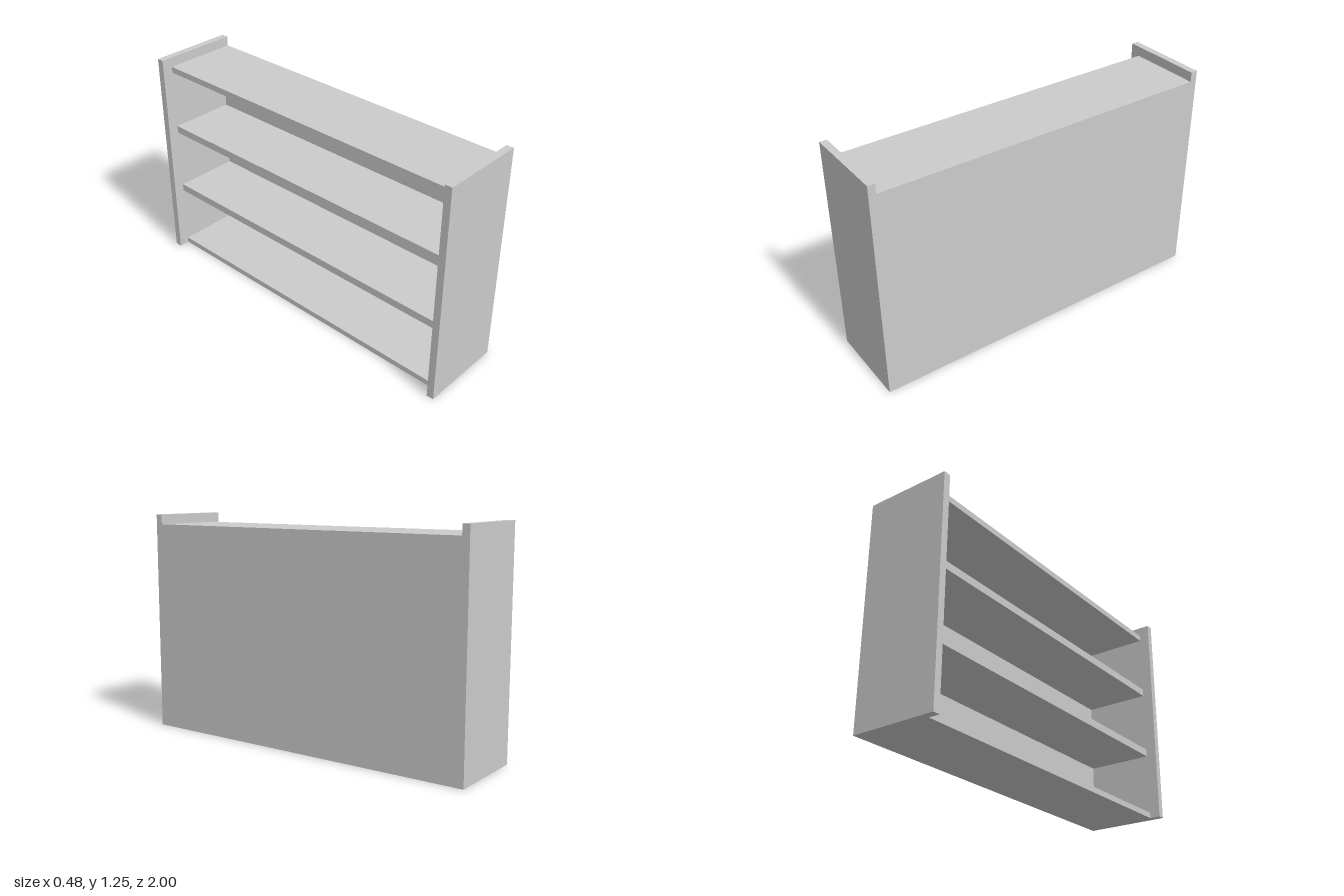
import * as THREE from 'three';

const material = new THREE.MeshStandardMaterial({ color: 0xcccccc, flatShading: true });

// Box given by its minimum and maximum corners
function board(name, [x0, y0, z0], [x1, y1, z1]) {
  const mesh = new THREE.Mesh(new THREE.BoxGeometry(x1 - x0, y1 - y0, z1 - z0), material);
  mesh.position.set((x0 + x1) / 2, (y0 + y1) / 2, (z0 + z1) / 2);
  mesh.name = name;
  return mesh;
}

export function createModel() {
  const group = new THREE.Group();
  group.name = 'bookcase';

  const halfDepth = 0.24, height = 1.245, top = 1.19, inner = 0.96, backFace = 0.2;

  // End panels, standing proud of the shelves at the top and open side
  group.add(board('frontEndPanel', [-halfDepth, 0, inner], [halfDepth, height, 1]));
  group.add(board('rearEndPanel', [-halfDepth, 0, -1], [halfDepth, height, -inner]));

  // Closed back between the end panels
  group.add(board('backPanel', [backFace, 0, -inner], [halfDepth, top, inner]));

  // Shelves: [underside, upper face]
  const shelves = [
    ['bottomShelf', 0, 0.032],
    ['lowerShelf', 0.38, 0.423],
    ['upperShelf', 0.775, 0.818],
    ['topShelf', 1.156, top],
  ];
  for (const [name, y0, y1] of shelves) {
    group.add(board(name, [-0.18, y0, -inner], [backFace, y1, inner]));
  }

  return group;
}
